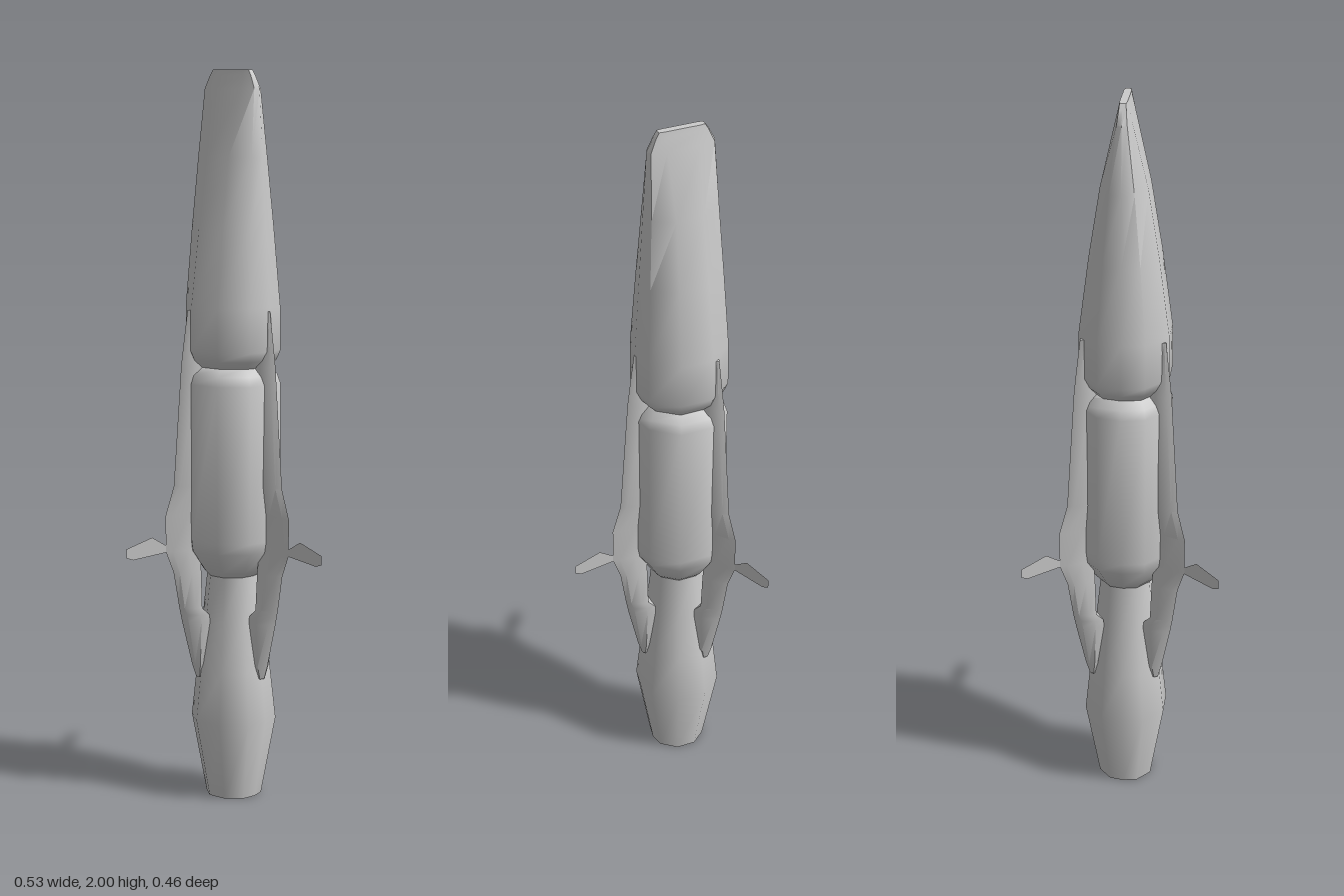
import * as THREE from 'three';
import { toCreasedNormals } from 'three/addons/utils/BufferGeometryUtils.js';

const material = new THREE.MeshStandardMaterial({ color: 0xcccccc });
const sheet = new THREE.MeshStandardMaterial({ color: 0xcccccc, side: THREE.DoubleSide });

// Closed skin through rings of [x, y, z], listed bottom to top, each counter-clockwise from above
function loft(rings, crease) {
  const n = rings[0].length, pos = rings.flat(2), index = [];
  for (let i = 0; i < rings.length - 1; i++) {
    for (let j = 0; j < n; j++) {
      const a = i * n + j, b = i * n + (j + 1) % n;
      index.push(a, b, b + n, a, b + n, a + n);
    }
  }
  const top = (rings.length - 1) * n;
  for (let j = 1; j < n - 1; j++) {
    index.push(0, j + 1, j, top, top + j, top + j + 1);
  }
  const geo = new THREE.BufferGeometry();
  geo.setAttribute('position', new THREE.Float32BufferAttribute(pos, 3));
  geo.setIndex(index);
  return toCreasedNormals(geo, crease);
}

// Ten-sided hull section in unit half-widths; p < 1 squares it off
const SECTION = [
  [0, 1], [0.53, 0.9], [1, 0.36], [1, -0.36], [0.53, -0.9],
  [0, -1], [-0.53, -0.9], [-1, -0.36], [-1, 0.36], [-0.53, 0.9],
];
const bend = (v, p) => Math.sign(v) * Math.abs(v) ** p;
const hullRing = ([y, hx, hz, p = 1]) =>
  SECTION.map(([u, v]) => [bend(u, p) * hx, y, bend(v, p) * hz]);

// Fin section: sharp outer edge, broad root
const finRing = ([y, rIn, rOut, w]) => {
  const mid = rIn + (rOut - rIn) * 0.35, near = rIn + (rOut - rIn) * 0.8;
  return [[0, y, rOut], [w * 0.5, y, near], [w, y, mid], [w, y, rIn],
    [-w, y, rIn], [-w, y, mid], [-w * 0.5, y, near]];
};

export function createModel() {
  const model = new THREE.Group();
  const ship = new THREE.Group();
  ship.name = 'rocket';
  ship.position.z = -0.077;
  model.add(ship);

  // Hull stages: [y, half width, half depth, squareness]
  const stages = {
    engineSection: [
      [0, 0.072, 0.075], [0.22, 0.11, 0.115], [0.36, 0.096, 0.1],
      [0.5, 0.081, 0.084], [0.64, 0.066, 0.07],
    ],
    middleSection: [
      [0.62, 0.062, 0.064], [0.64, 0.08, 0.084], [0.7, 0.118, 0.122], [0.73, 0.121, 0.127],
      [1.16, 0.121, 0.127], [1.185, 0.113, 0.118], [1.206, 0.092, 0.098],
    ],
    noseSection: [
      [1.204, 0.092, 0.098], [1.225, 0.11, 0.118], [1.25, 0.12, 0.128], [1.37, 0.119, 0.127],
      [1.58, 0.092, 0.115], [1.77, 0.062, 0.104], [1.95, 0.021, 0.093, 0.7], [1.985, 0.013, 0.075, 0.5],
      [2, 0.01, 0.064, 0.3],
    ],
  };
  for (const [name, rows] of Object.entries(stages)) {
    const mesh = new THREE.Mesh(loft(rows.map(hullRing), 0.8), material);
    mesh.name = name;
    ship.add(mesh);
  }

  // Fin spine: [y, inner radius, outer radius, half thickness]
  const finGeo = loft([
    [0.342, 0.1, 0.11, 0.01], [0.38, 0.095, 0.122, 0.021], [0.5, 0.078, 0.15, 0.027],
    [0.52, 0.08, 0.154, 0.027], [0.54, 0.1, 0.158, 0.025], [0.64, 0.1, 0.174, 0.018],
    [0.7, 0.1, 0.196, 0.01], [0.8, 0.1, 0.196, 0.01], [0.88, 0.1, 0.172, 0.02],
    [1.21, 0.09, 0.149, 0.02], [1.26, 0.09, 0.143, 0.012], [1.36, 0.115, 0.13, 0.008],
  ].map(finRing), 0.5);

  // Thin winglet, drawn as (radius, y) and turned into the fin's plane
  const outline = [[0.18, 0.71], [0.2, 0.72], [0.235, 0.742], [0.308, 0.715],
    [0.308, 0.69], [0.29, 0.683], [0.18, 0.7]];
  const wingGeo = new THREE.ShapeGeometry(
    new THREE.Shape(outline.map(([r, y]) => new THREE.Vector2(r, y)))).rotateY(-Math.PI / 2);

  // Three fins, evenly spaced
  ['frontFin', 'leftFin', 'rightFin'].forEach((name, i) => {
    const fin = new THREE.Group();
    fin.name = name;
    fin.rotation.y = i * Math.PI * 2 / 3;
    const spine = new THREE.Mesh(finGeo, material);
    spine.name = 'finSpine';
    const winglet = new THREE.Mesh(wingGeo, sheet);
    winglet.name = 'winglet';
    fin.add(spine, winglet);
    ship.add(fin);
  });

  return model;
}
